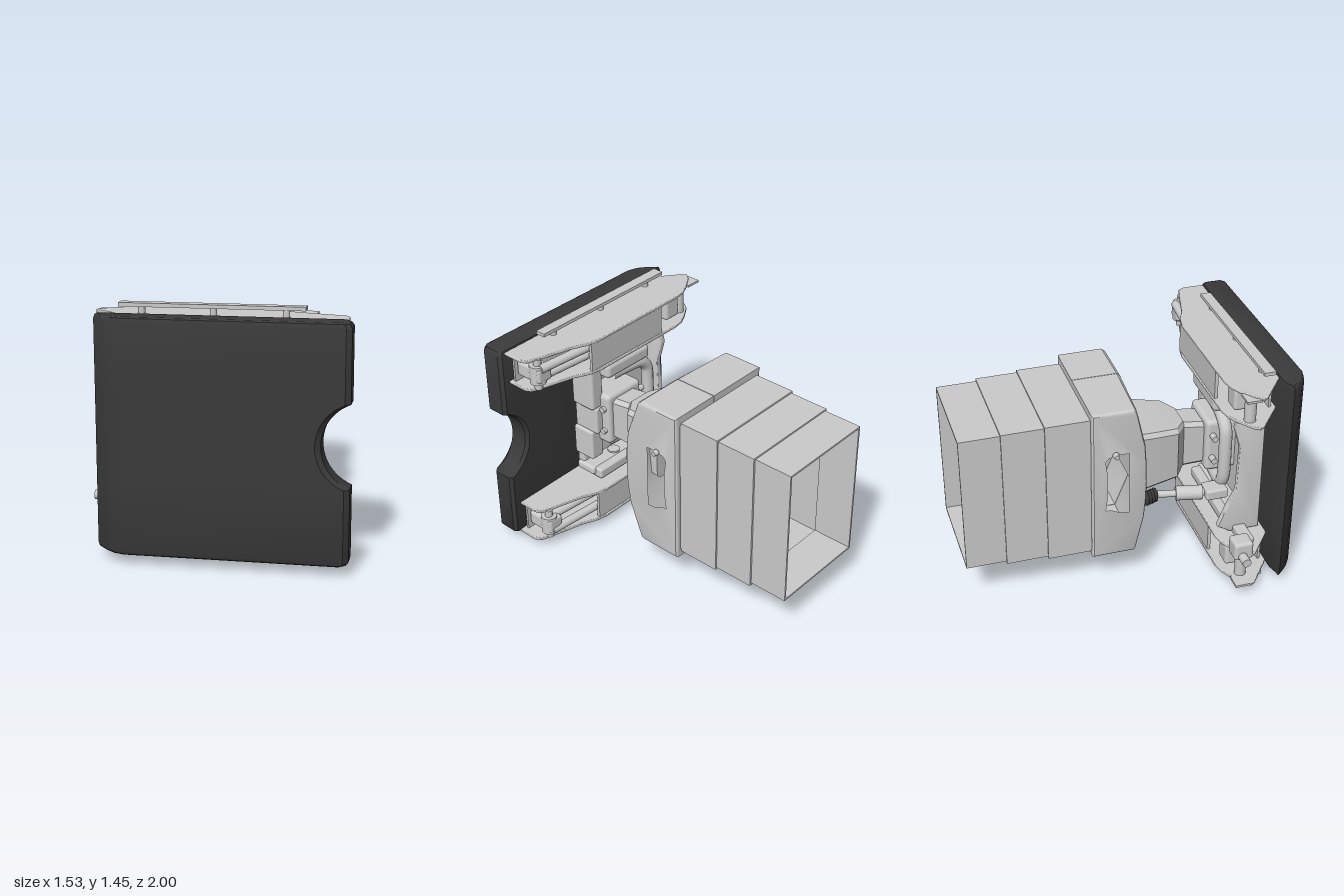
import * as THREE from 'three';
import { toCreasedNormals } from 'three/addons/utils/BufferGeometryUtils.js';
import { RoundedBoxGeometry } from 'three/addons/geometries/RoundedBoxGeometry.js';

const grey = new THREE.MeshStandardMaterial({ color: 0xcccccc });
const dark = new THREE.MeshStandardMaterial({ color: 0x3a3a3a });
const MID = 0.733; // height the two brackets mirror about

function add(parent, name, geo, mat = grey) {
  const m = new THREE.Mesh(geo, mat);
  m.name = name;
  parent.add(m);
  return m;
}
const toShape = (pts) => new THREE.Shape(pts.map((p) => new THREE.Vector2(p[0], p[1])));

// Box from its two extreme corners, with rounded edges if r is given
function box(parent, name, [x0, y0, z0], [x1, y1, z1], r = 0) {
  const s = [x1 - x0, y1 - y0, z1 - z0];
  const g = r ? new RoundedBoxGeometry(...s, 3, r) : new THREE.BoxGeometry(...s);
  return add(parent, name, g.translate((x0 + x1) / 2, (y0 + y1) / 2, (z0 + z1) / 2));
}

// Cylinder between two points
function rod(parent, name, a, b, r, r2 = r, mat = grey) {
  const A = new THREE.Vector3(...a), d = new THREE.Vector3(...b).sub(A), len = d.length();
  const m = add(parent, name, new THREE.CylinderGeometry(r2, r, len, 20), mat);
  m.quaternion.setFromUnitVectors(new THREE.Vector3(0, 1, 0), d.normalize());
  m.position.copy(A).addScaledVector(d, len / 2);
  return m;
}

function extrude(shape, depth, bevel) {
  return new THREE.ExtrudeGeometry(shape, {
    depth: depth - 2 * bevel, bevelEnabled: bevel > 0, bevelSize: bevel,
    bevelThickness: bevel, bevelOffset: -bevel, bevelSegments: 3,
  }).translate(0, 0, bevel);
}
// Flat plate with an [x, z] outline between two heights
function plate(parent, name, outline, y0, y1, bevel = 0) {
  const g = extrude(toShape(outline.map(([x, z]) => [x, -z])), y1 - y0, bevel);
  return add(parent, name, g.rotateX(-Math.PI / 2).translate(0, y0, 0));
}
// Side profile in [z, y], extruded from x0 to x1
function sidePlate(outline, x0, x1, bevel = 0, hole = null) {
  const flip = (pts) => pts.map(([z, y]) => [-z, y]);
  const s = toShape(flip(outline));
  if (hole) s.holes.push(toShape(flip(hole)));
  return extrude(s, x1 - x0, bevel).rotateY(Math.PI / 2).translate(x0, 0, 0);
}

// Skin over equal-length loops, closed at both ends
function loft(rings, crease = 0.6) {
  const n = rings[0].length, pos = rings.flat(2), idx = [];
  for (let i = 0; i < rings.length - 1; i++) {
    for (let j = 0; j < n; j++) {
      const a = i * n + j, b = i * n + (j + 1) % n;
      idx.push(a, b, b + n, a, b + n, a + n);
    }
  }
  const last = (rings.length - 1) * n;
  for (let j = 1; j < n - 1; j++) idx.push(0, j + 1, j, last, last + j, last + j + 1);
  const g = new THREE.BufferGeometry();
  g.setAttribute('position', new THREE.Float32BufferAttribute(pos, 3));
  g.setIndex(idx);
  return toCreasedNormals(g, crease);
}

// Dark front panel: horizontal sections whose right edge follows a round notch
function frontPanel(root) {
  const section = (y, R, e) => [
    [-0.5, 0.998 - e], [R - 0.03, 0.99 - e], [R - e / 2, 0.965 - e], [R - e / 2, 0.85 + e],
    [R - 0.02, 0.83 + e], [-0.58, 0.838 + e], [-0.68 + e, 0.87], [-0.625 + e, 0.935 - e / 2],
    [-0.56, 0.979 - e],
  ].map(([x, z]) => [x, y, z]);
  const rings = [section(0.06, 0.735, 0.02), section(0.068, 0.75, 0.008), section(0.09, 0.76, 0), section(0.48, 0.76, 0)];
  const r = 0.2526, half = Math.asin(0.235 / r);
  for (let i = 0; i <= 24; i++) {
    const t = -half + (2 * half * i) / 24;
    rings.push(section(0.735 + r * Math.sin(t), 0.8526 - r * Math.cos(t), 0));
  }
  rings.push(section(0.99, 0.76, 0), section(1.38, 0.76, 0), section(1.402, 0.75, 0.008), section(1.41, 0.735, 0.02));
  add(root, 'frontPanel', loft(rings), dark);
}

// Viewing hood: hollow housing with side windows and a stepped square tube
function hood(root) {
  const g = new THREE.Group();
  g.name = 'hood';
  root.add(g);
  const outer = [[-0.23, 0.22], [0.05, 0.22], [0.07, 0.235], [0.155, 0.46], [0.175, 0.6], [0.18, 0.72],
    [0.175, 0.85], [0.16, 0.97], [0.07, 1.215], [0.05, 1.23], [-0.23, 1.23]];
  const inner = [[-0.23, 1.17], [0.04, 1.17], [0.13, 0.96], [0.15, 0.72], [0.125, 0.48], [0.04, 0.27], [-0.23, 0.27]];
  const windowHole = [[0.015, 0.5], [0.015, 0.96], [-0.09, 0.96], [-0.14, 0.945], [-0.17, 0.91],
    [-0.155, 0.8], [-0.155, 0.66], [-0.17, 0.54], [-0.12, 0.535], [-0.06, 0.505]];
  // The front leans back towards the right side
  const lean = (geo) => {
    const p = geo.attributes.position;
    for (let i = 0; i < p.count; i++) {
      const k = THREE.MathUtils.clamp((p.getX(i) + 0.365) / 0.435, 0, 1);
      if (p.getZ(i) > 0) p.setZ(i, p.getZ(i) * (0.6 + 0.4 * k));
    }
    return toCreasedNormals(geo, 0.5);
  };
  const band = [...outer, ...inner];
  add(g, 'housingRight', lean(sidePlate(band, -0.335, 0.068)));
  add(g, 'housingLeft', lean(sidePlate(band, 0.072, 0.375)));
  add(g, 'rightWall', lean(sidePlate(outer, -0.365, -0.315, 0.02, windowHole)));
  add(g, 'leftWall', lean(sidePlate(outer, 0.355, 0.405, 0.02, windowHole)));
  const tubes = [[-0.33, 0.36, 0.25, 1.185, -0.5, -0.22], [-0.32, 0.35, 0.262, 1.175, -0.755, -0.49],
    [-0.31, 0.335, 0.275, 1.165, -1, -0.745]];
  for (const [x0, x1, y0, y1, z0, z1] of tubes) {
    const rect = (t) => [[x0 + t, y0 + t], [x1 - t, y0 + t], [x1 - t, y1 - t], [x0 + t, y1 - t]];
    const s = toShape(rect(0));
    s.holes.push(toShape(rect(0.012)));
    add(g, 'hoodSection', extrude(s, z1 - z0, 0).translate(0, 0, z0));
  }
  for (const [x, d] of [[-0.36, -1], [0.4, 1]]) {
    rod(g, 'screwShank', [x, 0.95, -0.09], [x + d * 0.02, 0.95, -0.09], 0.01);
    rod(g, 'screwHead', [x + d * 0.015, 0.95, -0.09], [x + d * 0.045, 0.95, -0.09], 0.02, 0.015);
  }
}

// Tapered neck and the damper strut beside it
function neck(root) {
  const ring = (z, x0, x1, y0, y1, c = 0.025) => [
    [x0 + c, y0, z], [x1 - c, y0, z], [x1, y0 + c, z], [x1, y1 - c, z],
    [x1 - c, y1, z], [x0 + c, y1, z], [x0, y1 - c, z], [x0, y0 + c, z]];
  add(root, 'neck', loft([ring(0.09, -0.26, 0.22, 0.56, 0.97), ring(0.2, -0.24, 0.215, 0.57, 0.955),
    ring(0.36, -0.2, 0.19, 0.575, 0.93), ring(0.43, -0.1, 0.1, 0.58, 0.915)], 0.4));
  add(root, 'neckEnd', loft([ring(0.38, -0.1, 0.11, 0.585, 0.91), ring(0.6, -0.1, 0.11, 0.59, 0.88)], 0.4));
  rod(root, 'strutBody', [-0.29, 0.515, 0.49], [-0.255, 0.515, 0.33], 0.045);
  rod(root, 'strutRod', [-0.26, 0.515, 0.35], [-0.225, 0.515, 0.18], 0.022);
  rod(root, 'strutMount', [-0.3, 0.515, 0.64], [-0.285, 0.515, 0.48], 0.025);
  box(root, 'strutFoot', [-0.35, 0.48, 0.5], [-0.23, 0.55, 0.64], 0.015);
  for (let i = 0; i < 4; i++) {
    add(root, 'strutBoot', new THREE.TorusGeometry(0.032, 0.014, 8, 20), dark)
      .position.set(-0.235 - i * 0.007, 0.515, 0.2 - i * 0.02);
  }
}

// Sliding bracket; top one as given, bottom one mirrored in height
function bracket(root, top) {
  const g = new THREE.Group();
  g.name = top ? 'topBracket' : 'bottomBracket';
  root.add(g);
  const Y = (y) => (top ? y : 2 * MID - y);
  const span = (a, b) => [Math.min(Y(a), Y(b)), Math.max(Y(a), Y(b))];
  const slab = (name, o, a, b, bevel) => plate(g, name, o, ...span(a, b), bevel);
  const block = (name, x0, x1, a, b, z0, z1, r) => {
    const [y0, y1] = span(a, b);
    return box(g, name, [x0, y0, z0], [x1, y1, z1], r);
  };
  const outline = [[-0.72, 0.67], [-0.69, 0.63], [-0.6, 0.57], [-0.54, 0.54], [-0.46, 0.525], [0.24, 0.52],
    [0.32, 0.535], [0.42, 0.58], [0.64, 0.64], [0.7, 0.66], [0.72, 0.7], [0.72, 0.83], [-0.52, 0.84], [-0.7, 0.7]];
  slab('outerPlate', outline, 1.38, 1.4, 0.005);
  slab('innerPlate', outline.map(([x, z]) => [x * 0.97, z]), 1.175, 1.195, 0.005);
  block('backWall', -0.32, 0.3, 1.19, 1.385, 0.53, 0.55);
  block('frontWall', -0.5, 0.68, 1.19, 1.385, 0.795, 0.81);
  // Hinged rods towards the left end
  for (const [y, z] of [[1.33, 0.62], [1.25, 0.66]]) {
    rod(g, 'linkRod', [0.25, Y(y), z - 0.03], [0.64, Y(y), z], 0.028);
  }
  rod(g, 'hingePin', [0.63, Y(1.185), 0.65], [0.63, Y(1.39), 0.65], 0.025);
  rod(g, 'hingeEye', [0.63, Y(1.23), 0.65], [0.63, Y(1.35), 0.65], 0.05);
  block('hingeBlock', 0.56, 0.67, 1.24, 1.34, 0.6, 0.79, 0.02);
  // Roller block at the right end
  rod(g, 'rollerPost', [-0.6, Y(1.185), 0.64], [-0.6, Y(1.385), 0.64], 0.035);
  block('rollerBlock', -0.53, -0.41, 1.22, 1.36, 0.57, 0.7, 0.02);
  block('rightClevis', -0.72, -0.62, 1.378, 1.392, 0.57, 0.66);
  // Outer rail on three studs
  slab('rail', [[-0.555, 0.735], [0.49, 0.73], [0.49, 0.795], [-0.555, 0.805]], 1.438, 1.46);
  for (const x of [-0.43, -0.025, 0.38]) {
    rod(g, 'railStud', [x, Y(1.39), 0.77], [x, Y(1.445), 0.77], 0.02);
  }
  // Joint to the centre frame
  rod(g, 'framePivot', [-0.02, Y(1.08), 0.7], [-0.02, Y(1.19), 0.7], 0.04);
  block('frameShoulder', -0.36, 0.22, 1.09, 1.15, 0.65, 0.8, 0.02);
  block('panelMount', -0.45, 0.62, 1.24, 1.34, 0.805, 0.85);
}

// Centre frame carrying the neck between the brackets
function centreFrame(root) {
  const g = new THREE.Group();
  g.name = 'centreFrame';
  root.add(g);
  box(g, 'backPlate', [-0.42, 0.36, 0.75], [0.2, 1.12, 0.81], 0.015);
  const wall = [[0.81, 0.3], [0.62, 0.3], [0.54, 0.35], [0.6, 0.5], [0.65, 0.6], [0.66, 0.9], [0.62, 1.04], [0.64, 1.13], [0.81, 1.15]];
  add(g, 'rightSideWall', toCreasedNormals(sidePlate(wall, -0.45, -0.41, 0.008), 0.5));
  box(g, 'leftPostUpper', [0.12, 0.82, 0.63], [0.22, 1.12, 0.81], 0.02);
  box(g, 'leftPostMiddle', [0.1, 0.64, 0.62], [0.2, 0.83, 0.8], 0.015);
  box(g, 'leftPostLower', [0.12, 0.44, 0.65], [0.22, 0.65, 0.81], 0.015);
  box(g, 'topPad', [-0.24, 1.04, 0.56], [0.14, 1.14, 0.68], 0.03);
  box(g, 'neckSocket', [-0.15, 0.56, 0.56], [0.15, 0.92, 0.77], 0.03);
  const path = new THREE.CatmullRomCurve3([[0.02, 1, 0.65], [-0.2, 1, 0.63], [-0.28, 0.92, 0.63], [-0.28, 0.62, 0.63],
    [-0.22, 0.53, 0.63], [0.08, 0.52, 0.66]].map((p) => new THREE.Vector3(...p)), false, 'catmullrom', 0.3);
  add(g, 'curvedArm', new THREE.TubeGeometry(path, 40, 0.04, 10));
  box(g, 'lowerLedge', [-0.42, 0.3, 0.6], [0.2, 0.37, 0.81], 0.015);
  for (const y of [0.66, 0.82]) rod(g, 'socketBolt', [-0.2, y, 0.6], [0.17, y, 0.6], 0.02);
  // Latch block at the lower right
  box(g, 'latchBlock', [-0.7, 0.26, 0.56], [-0.58, 0.38, 0.68], 0.02);
  rod(g, 'latchKnob', [-0.77, 0.29, 0.61], [-0.68, 0.29, 0.61], 0.028);
  box(g, 'latchArm', [-0.6, 0.28, 0.64], [-0.4, 0.34, 0.72], 0.01);
}

export function createModel() {
  const root = new THREE.Group();
  root.name = 'viewingHoodAssembly';
  frontPanel(root);
  hood(root);
  neck(root);
  bracket(root, true);
  bracket(root, false);
  centreFrame(root);
  return root;
}
